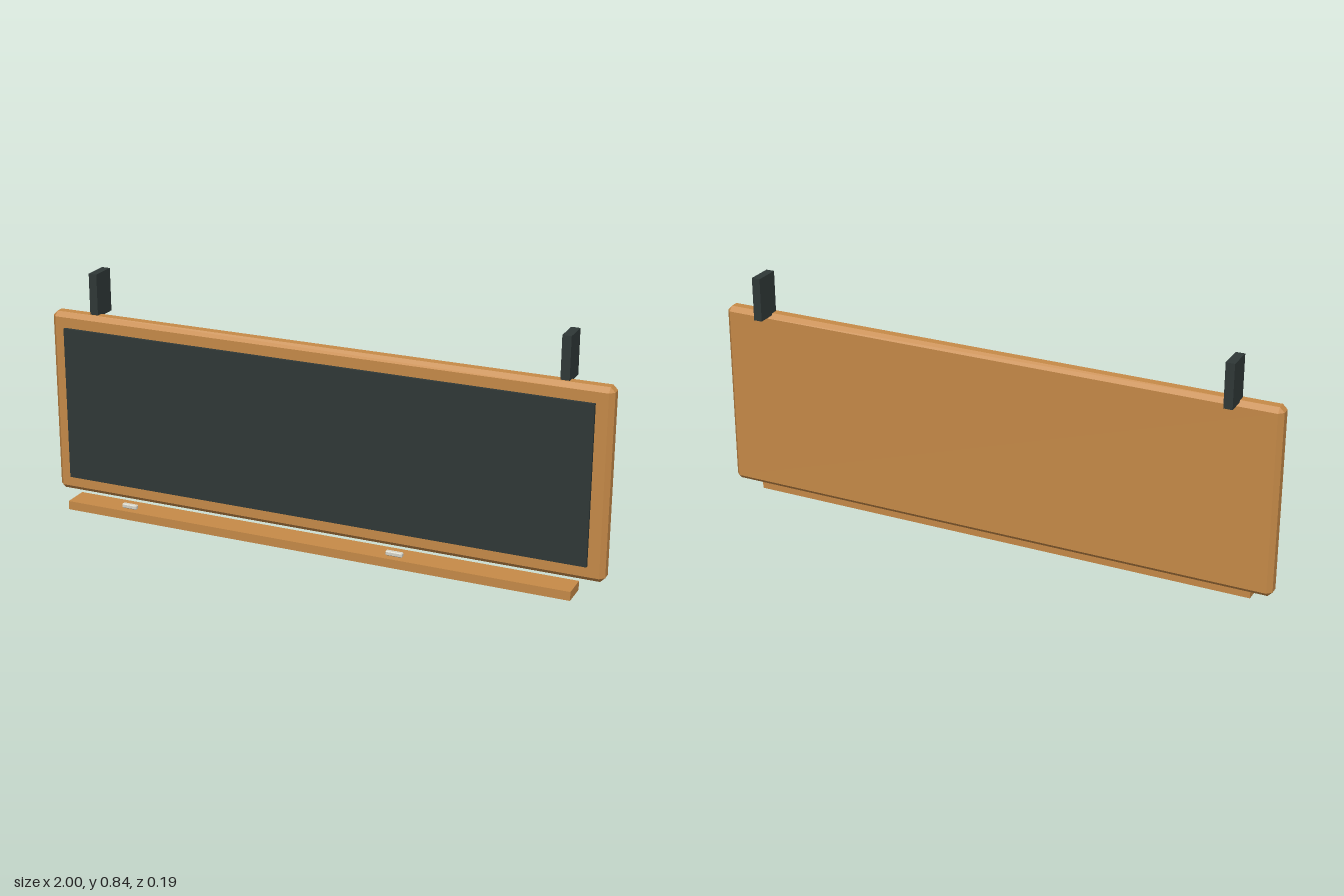
import * as THREE from 'three';
import { ConvexGeometry } from 'three/addons/geometries/ConvexGeometry.js';

// Box with every edge cut at 45 degrees
function chamferedBox(w, h, d, c) {
  const half = [w / 2, h / 2, d / 2];
  const points = [];
  for (const sx of [-1, 1]) for (const sy of [-1, 1]) for (const sz of [-1, 1]) {
    const s = [sx, sy, sz];
    for (let axis = 0; axis < 3; axis++) {
      points.push(new THREE.Vector3(...half.map((v, i) => s[i] * (i === axis ? v : v - c))));
    }
  }
  return new ConvexGeometry(points);
}

export function createModel() {
  const group = new THREE.Group();
  const material = (name, color) => {
    const m = new THREE.MeshStandardMaterial({ color });
    m.name = name;
    return m;
  };
  const wood = material('wood', 0xc68a48);
  const slate = material('slate', 0x2f3837);
  const white = material('chalkWhite', 0xd6d4c8);

  // Each part is given by its extents on x, y and z
  const add = (name, mat, [x0, x1], [y0, y1], [z0, z1], chamfer = 0) => {
    const size = [x1 - x0, y1 - y0, z1 - z0];
    const geometry = chamfer ? chamferedBox(...size, chamfer) : new THREE.BoxGeometry(...size);
    const mesh = new THREE.Mesh(geometry, mat);
    mesh.name = name;
    mesh.position.set((x0 + x1) / 2, (y0 + y1) / 2, (z0 + z1) / 2);
    group.add(mesh);
  };

  // Bevelled wooden backing and the writing surface on its front
  add('frame', wood, [-1, 1], [0.04, 0.696], [-0.041, 0.02], 0.016);
  add('writingSurface', slate, [-0.947, 0.944], [0.094, 0.643], [0.018, 0.031]);

  // Ledge and two sticks of chalk
  add('chalkTray', wood, [-0.918, 0.915], [0, 0.031], [0.004, 0.096]);
  add('rightChalk', white, [-0.717, -0.66], [0.031, 0.047], [0.057, 0.073], 0.003);
  add('leftChalk', white, [0.273, 0.333], [0.031, 0.047], [0.057, 0.073], 0.003);

  // Hanging brackets above the top edge
  for (const [name, x] of [['rightBracket', -0.842], ['leftBracket', 0.836]]) {
    add(name, slate, [x - 0.015, x + 0.015], [0.689, 0.841], [-0.094, -0.002]);
  }
  return group;
}
